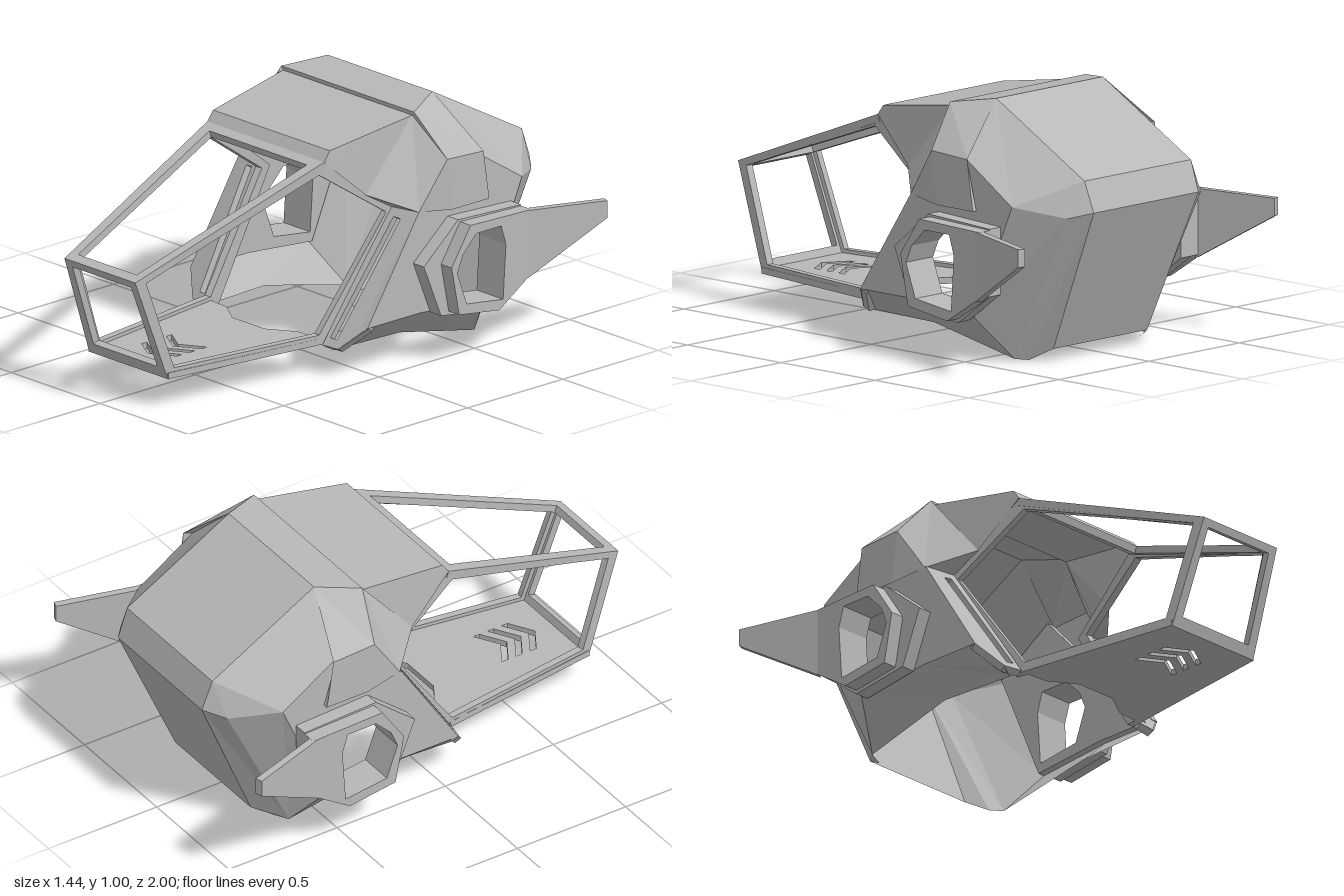
import * as THREE from 'three';

const V = (x, y, z) => new THREE.Vector3(x, y, z);
const mirror = (pts) => pts.map((p) => V(-p.x, p.y, p.z)).reverse();

export function createModel() {
  const model = new THREE.Group();
  const grey = new THREE.MeshStandardMaterial({ color: 0xb8b8b8, side: THREE.DoubleSide, flatShading: true });
  grey.name = 'shell grey';

  const add = (name, geo) => {
    const mesh = new THREE.Mesh(geo, grey);
    mesh.name = name;
    model.add(mesh);
  };

  // Flat plate with holes; thickness t goes inward, away from the polygon normal
  function plate(name, pts, holes = [], t = 0.03) {
    const n = V(0, 0, 0), o = pts[0];
    pts.forEach((p, i) => n.add(p.clone().sub(o).cross(pts[(i + 1) % pts.length].clone().sub(o))));
    n.normalize();
    const u = pts[1].clone().sub(o).normalize();
    u.addScaledVector(n, -u.dot(n)).normalize();
    const v = n.clone().cross(u);
    const flat = (list) => list.map((p) => {
      const d = p.clone().sub(o);
      return new THREE.Vector2(d.dot(u), d.dot(v));
    });
    const shape = new THREE.Shape(flat(pts));
    holes.forEach((h) => shape.holes.push(new THREE.Path(flat(h))));
    const geo = new THREE.ExtrudeGeometry(shape, { depth: t, bevelEnabled: false });
    geo.translate(0, 0, -t);
    geo.applyMatrix4(new THREE.Matrix4().makeBasis(u, v, n).setPosition(o));
    add(name, geo);
  }
  function platePair(name, pts, holes, t) {
    plate('left ' + name, pts, holes, t);
    plate('right ' + name, mirror(pts), holes.map(mirror), t);
  }

  // Thin shell made of convex facets
  function sheet(name, faces) {
    const pos = [];
    for (const f of faces) {
      for (let i = 1; i < f.length - 1; i++) {
        for (const p of [f[0], f[i], f[i + 1]]) pos.push(p.x, p.y, p.z);
      }
    }
    const geo = new THREE.BufferGeometry();
    geo.setAttribute('position', new THREE.Float32BufferAttribute(pos, 3));
    geo.computeVertexNormals();
    add(name, geo);
  }
  const sheetPair = (name, faces) => {
    sheet('left ' + name, faces);
    sheet('right ' + name, faces.map(mirror));
  };
  // Quad spanning both sides between two points
  const span = (a, b) => [a, b, V(-b.x, b.y, b.z), V(-a.x, a.y, a.z)];

  // Shared corners, left half
  const browFront = V(0.33, 0.86, 0.13), browLip = V(0.33, 0.9, 0.1), browRear = V(0.365, 0.96, -0.3);
  const browLow = V(0.36, 0.69, -0.06);
  const crestFront = V(0.375, 0.975, -0.3), crestFrontMid = V(0.52, 0.81, -0.34), crestFrontLow = V(0.52, 0.6, -0.37);
  const crestRear = V(0.295, 1.0, -0.47), crestRearMid = V(0.52, 0.8, -0.53), crestRearLow = V(0.52, 0.6, -0.56);
  const topRear = V(0.295, 0.74, -0.94), rearTop = V(0.29, 0.62, -0.985), rearLow = V(0.26, 0.05, -0.74);
  const sideTop = V(0.5, 0.8, -0.5), sideRear = V(0.5, 0.64, -0.75), sideLow = V(0.5, 0.18, -0.55);
  const rearCorner = V(0.37, 0.6, -0.92), jawRear = V(0.36, 0.01, -0.63), jawTip = V(0.3, 0, -0.65);
  const cheekIn = V(0.33, 0.12, 0.14), cheekTip = V(0.41, 0.12, 0.13), cheekOut = V(0.5, 0.21, 0.06);
  const cheekTop = V(0.5, 0.62, -0.21), cheekTopIn = V(0.37, 0.62, -0.18);
  const jawMid = V(0.5, 0.21, -0.22), jawMidLow = V(0.38, 0.1, -0.22), jawFront = V(0.36, 0.1, 0.11);

  // Brow
  sheet('brow', [span(browFront, browLip), span(browLip, browRear)]);
  sheetPair('brow side', [[browFront, browLow, browRear, browLip]]);
  sheetPair('temple', [
    [browRear, browLow, cheekTop, crestFrontMid, crestFront],
    [cheekTop, crestFrontLow, crestFrontMid],
    [browLow, cheekTopIn, cheekTop],
  ]);

  // Raised crest over the crown
  sheet('crest top', [span(browRear, crestFront), span(crestFront, crestRear)]);
  sheetPair('crest side', [
    [crestFront, crestFrontMid, crestRearMid, crestRear],
    [crestFrontMid, crestFrontLow, crestRearLow, crestRearMid],
    [crestRearMid, crestRearLow, V(0.5, 0.6, -0.56), sideTop],
    [crestRear, crestRearMid, sideTop],
  ]);

  // Back of the helmet
  sheet('crown panel', [span(crestRear, topRear)]);
  sheet('rear panel', [span(topRear, rearTop), span(rearTop, rearLow)]);
  sheetPair('rear bevel', [
    [crestRear, sideTop, sideRear, topRear],
    [topRear, sideRear, rearCorner],
    [topRear, rearCorner, rearTop],
    [rearTop, rearCorner, jawRear],
    [rearTop, jawRear, jawTip, rearLow],
    [rearCorner, sideRear, sideLow, jawRear],
  ]);

  // Side walls, with the ear opening going right through
  const at = (x, list) => list.map(([z, y]) => V(x, y, z));
  const earHole = [[-0.3, 0.38], [-0.33, 0.45], [-0.4, 0.52], [-0.53, 0.52], [-0.555, 0.44], [-0.54, 0.22], [-0.35, 0.245]];
  platePair('side wall', [cheekOut, jawMid, sideLow, sideRear, sideTop, V(0.5, 0.66, -0.37), cheekTop],
    [at(0.5, earHole)], 0.03);

  // Jaw
  sheetPair('jaw', [
    [cheekOut, cheekTip, jawFront, jawMidLow, jawMid],
    [jawMid, jawMidLow, jawRear, sideLow],
    [cheekIn, cheekTip, jawFront],
  ]);

  // Cheek plates with a long slot
  const slot = [[0.4, 0.595], [0.435, 0.595], [0.385, 0.15], [0.352, 0.15]].map(([x, y]) => V(x, y, 0.21 - 0.62 * y));
  platePair('cheek plate', [cheekIn, cheekTip, cheekOut, cheekTop, cheekTopIn], [slot], 0.03);

  // Ear pods: collar, ring and swept fin
  const collar = [[-0.18, 0.42], [-0.27, 0.2], [-0.52, 0.165], [-0.69, 0.29], [-0.69, 0.555], [-0.36, 0.57]];
  const ring = [[-0.27, 0.41], [-0.31, 0.21], [-0.52, 0.18], [-0.69, 0.29], [-0.69, 0.55], [-0.37, 0.56]];
  platePair('ear collar', at(0.56, collar), [at(0.56, earHole)], 0.06);
  platePair('ear ring', at(0.62, ring), [at(0.62, earHole)], 0.06);
  platePair('ear fin', [V(0.62, 0.55, -0.67), V(0.62, 0.275, -0.67), V(0.72, 0.47, -0.995), V(0.72, 0.54, -0.995)], [], 0.03);

  // Muzzle frame: sides, sloped top and front
  const frameSide = (list) => list.map(([z, y]) => V(0.345 - 0.145 * z, y, z));
  platePair('muzzle side frame',
    frameSide([[1, 0.54], [0.85, 0.12], [0.1, 0.12], [-0.21, 0.6], [0.13, 0.86]]),
    [frameSide([[0.95, 0.53], [0.82, 0.16], [0.15, 0.16], [-0.16, 0.6], [0.15, 0.81]])], 0.03);
  const nose = V(0.2, 0.54, 1), chin = V(0.222, 0.12, 0.85);
  const topY = (z) => 0.86 - 0.368 * (z - 0.13);
  plate('muzzle top frame', span(nose, browFront),
    [span(V(0.165, topY(0.96), 0.96), V(0.275, topY(0.17), 0.17))], 0.03);
  plate('muzzle front frame', span(chin, nose),
    [span(V(0.18, 0.165, 0.866), V(0.165, 0.51, 0.989))], 0.03);

  // Muzzle floor with neck notch and chevron vents
  const floorY = 0.145;
  const half = [[0.225, 0.85], [0.325, 0.14], [0.2, 0.15], [0.09, 0.22]].map(([x, z]) => V(x, floorY, z));
  const chevrons = [0, 1, 2].map((i) => {
    const z = 0.53 + i * 0.065;
    return [[-0.1, z], [0, z + 0.06], [0.1, z], [0.1, z + 0.028], [0, z + 0.088], [-0.1, z + 0.028]]
      .map(([x, d]) => V(x, floorY, d));
  });
  plate('muzzle floor', [...half, ...mirror(half)], chevrons, 0.025);

  return model;
}
